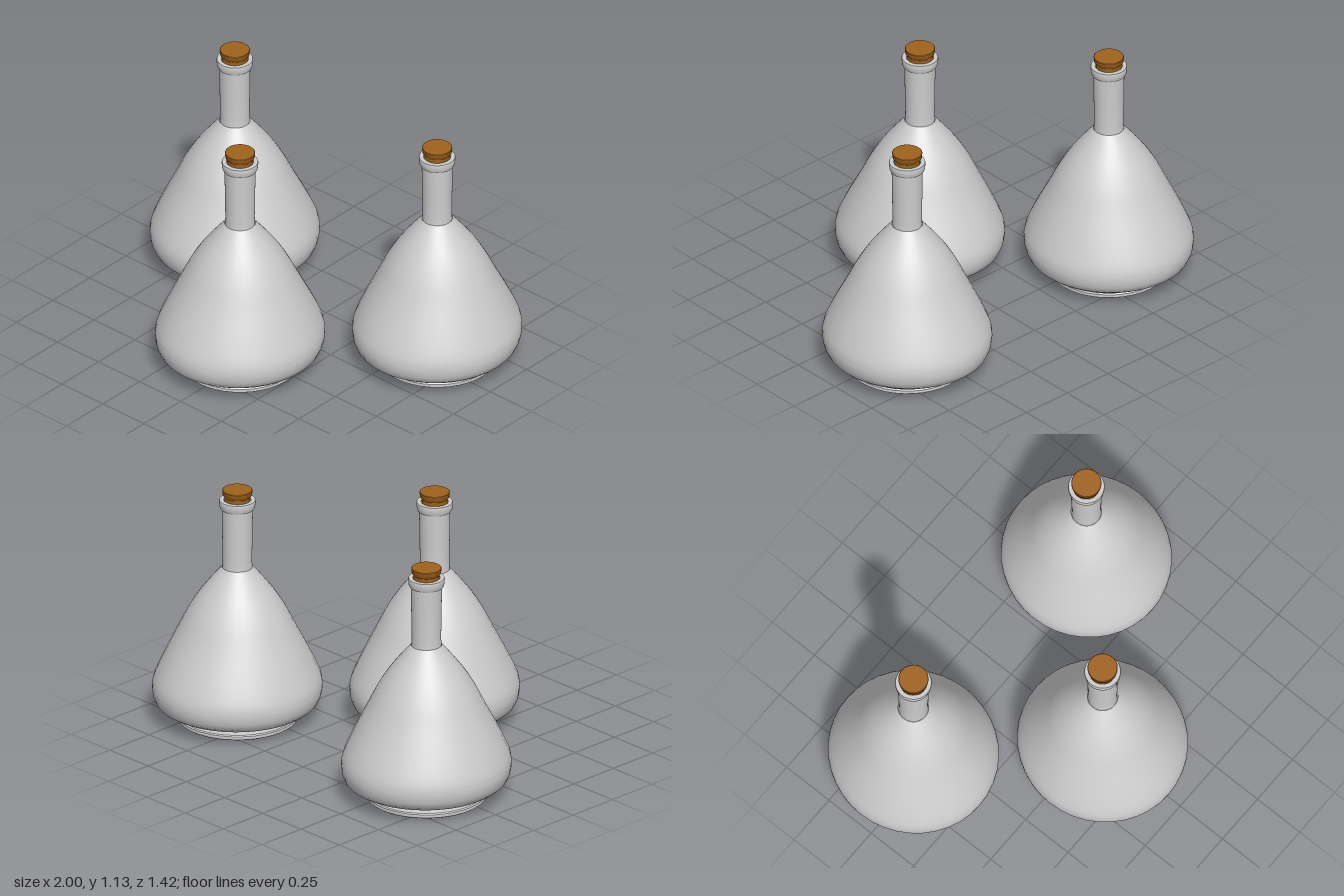
import * as THREE from 'three';
import { toCreasedNormals } from 'three/addons/utils/BufferGeometryUtils.js';

const SEGMENTS = 40;
const glass = new THREE.MeshStandardMaterial({ color: 0xcccccc, side: THREE.DoubleSide });
const corkMaterial = new THREE.MeshStandardMaterial({ color: 0xa0621a });

// Turns a list of [radius, height] pairs into a lathed mesh with crisp corners
function turned(name, points, material, reshape) {
  const profile = points.map(([r, y]) => new THREE.Vector2(r, y));
  const geometry = new THREE.LatheGeometry(profile, SEGMENTS);
  if (reshape) reshape(geometry.attributes.position);
  const mesh = new THREE.Mesh(toCreasedNormals(geometry, 0.7), material);
  mesh.name = name;
  return mesh;
}

// The belly is slightly deeper than it is wide
function deepenBelly(position) {
  for (let i = 0; i < position.count; i++) {
    const y = position.getY(i);
    const amount = THREE.MathUtils.smoothstep(y, 0.05, 0.1) * (1 - THREE.MathUtils.smoothstep(y, 0.2, 0.5));
    position.setZ(i, position.getZ(i) * (1 + 0.036 * amount));
  }
}

function createBottle() {
  const bottle = new THREE.Group();

  // Flat foot disc with a recessed stem
  bottle.add(turned('foot', [
    [0, 0], [0.27, 0], [0.277, 0.005], [0.277, 0.02], [0.272, 0.025], [0.24, 0.027], [0.238, 0.052],
  ], glass));

  // Rounded underside and sloping shoulder
  const shoulder = new THREE.SplineCurve([
    [0.382, 0.17], [0.372, 0.215], [0.328, 0.32], [0.272, 0.44], [0.228, 0.53], [0.176, 0.615], [0.115, 0.695], [0.07, 0.748],
  ].map(([r, y]) => new THREE.Vector2(r, y)));
  const slope = shoulder.getPoints(21).map((p) => [p.x, p.y]);
  bottle.add(turned('belly', [
    [0.236, 0.05], [0.29, 0.057], [0.345, 0.074], [0.366, 0.092], [0.377, 0.12], [0.381, 0.145], ...slope,
  ], glass, deepenBelly));

  // Neck
  bottle.add(turned('neck', [[0.069, 0.747], [0.067, 0.78], [0.069, 0.9], [0.071, 1.04]], glass));

  // Rolled lip
  bottle.add(turned('lip', [
    [0.069, 1.036], [0.077, 1.038], [0.081, 1.047], [0.084, 1.075], [0.082, 1.081], [0.062, 1.081], [0.058, 1.04],
  ], glass));

  // Cork with a wider cap and a narrow groove
  bottle.add(turned('cork', [
    [0, 1.04], [0.056, 1.04], [0.06, 1.098], [0.063, 1.101], [0.067, 1.106], [0.069, 1.128], [0.067, 1.13], [0, 1.13],
  ], corkMaterial));
  return bottle;
}

export function createModel() {
  const model = new THREE.Group();
  model.name = 'bottles';
  const places = [
    ['rightBottle', -0.618, -0.317],
    ['frontBottle', -0.026, 0.312],
    ['leftBottle', 0.617, -0.317],
  ];
  for (const [name, x, z] of places) {
    const bottle = createBottle();
    bottle.name = name;
    bottle.position.set(x, 0, z);
    model.add(bottle);
  }
  return model;
}
